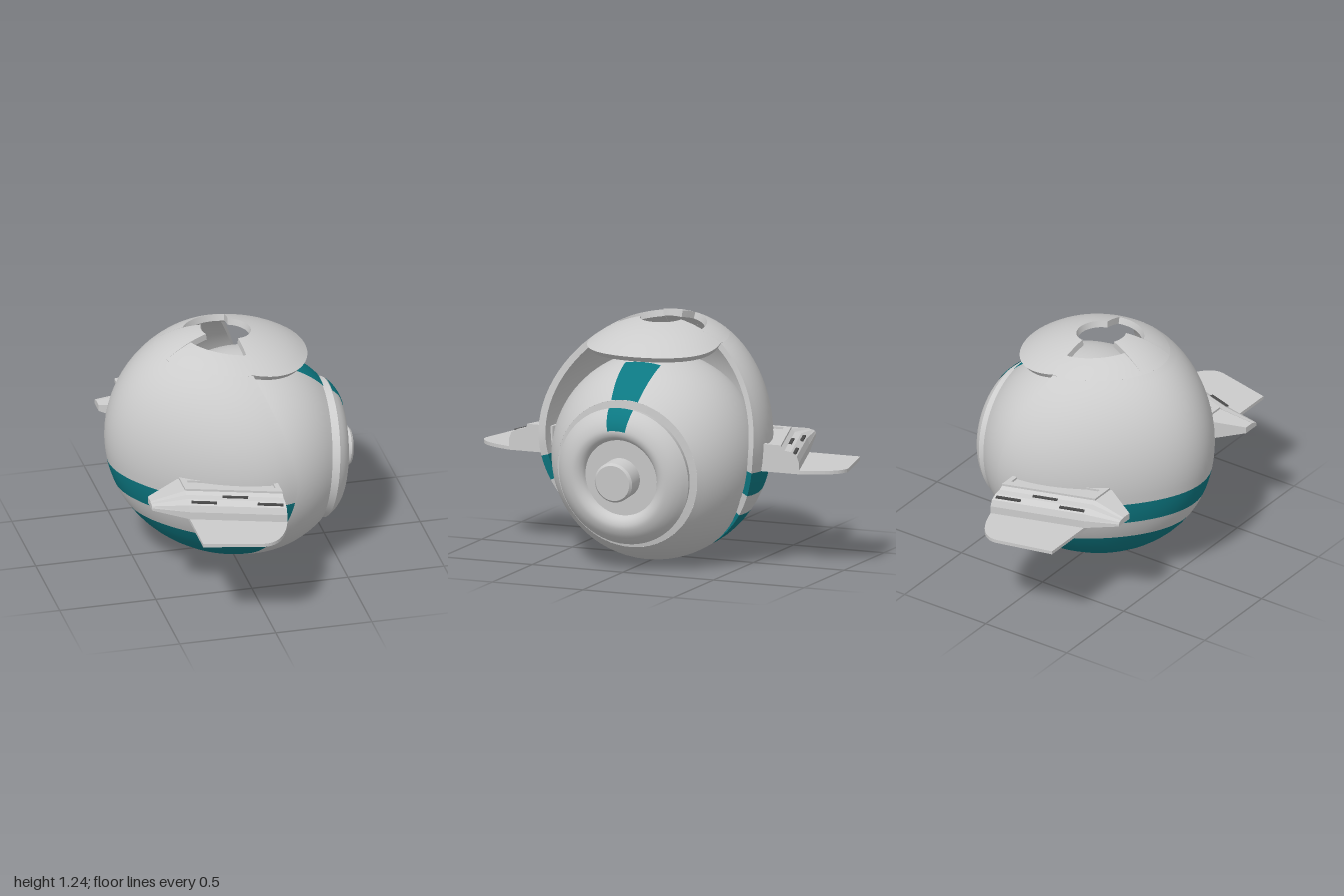
import * as THREE from 'three';

const GREY = 0xcccccc, TEAL = 0x0c7882, DARK = 0x4a4a4a;
const mat = (color = GREY) => new THREE.MeshStandardMaterial({ color, side: THREE.DoubleSide });

function add(parent, name, geo, color) {
  const mesh = new THREE.Mesh(geo, mat(color));
  mesh.name = name;
  parent.add(mesh);
  return mesh;
}

// Hood surface: a slightly sheared ellipsoid that widens towards its open front
const CX = -0.03, CY = 0.625, R = 0.605, RY = 0.615;
function hoodPoint(x, z, side) {
  const rho2 = ((x - CX) ** 2 + z * z) / (R * R);
  const y = CY + side * RY * Math.sqrt(Math.max(0, 1 - rho2)) - 0.07 * x + 0.375 * Math.max(0, x) ** 2;
  return new THREE.Vector3(x, y, z * (0.98 + 0.42 * x));
}

// Curved plate with an outer skin, inner skin and four edge walls
function plate(point, nu, nv) {
  const center = new THREE.Vector3(CX, CY, 0);
  const pos = [], idx = [];
  const outer = (i, j) => point(i / nu, j / nv);
  const inner = (i, j) => outer(i, j).sub(center).multiplyScalar(0.945).add(center);
  const sheet = (f, n, m, flip) => {
    const base = pos.length / 3;
    for (let j = 0; j <= m; j++) for (let i = 0; i <= n; i++) pos.push(...f(i, j).toArray());
    for (let j = 0; j < m; j++) for (let i = 0; i < n; i++) {
      const a = base + j * (n + 1) + i, b = a + n + 1;
      if (flip) idx.push(a, b, a + 1, a + 1, b, b + 1);
      else idx.push(a, a + 1, b, a + 1, b + 1, b);
    }
  };
  sheet(outer, nu, nv, false);
  sheet(inner, nu, nv, true);
  for (const j of [0, nv]) sheet((i, k) => (k ? inner(i, j) : outer(i, j)), nu, 1, j === 0);
  for (const i of [0, nu]) sheet((j, k) => (k ? inner(i, j) : outer(i, j)), nv, 1, i !== 0);
  const geo = new THREE.BufferGeometry();
  geo.setAttribute('position', new THREE.Float32BufferAttribute(pos, 3));
  geo.setIndex(idx);
  geo.computeVertexNormals();
  return geo;
}

function buildHood() {
  const hood = new THREE.Group();
  hood.name = 'hood';
  // Side walls in latitude bands, two of them coloured; the front edge bows forward
  const frontEdge = (y) => 0.215 - (y > 0.59
    ? 0.165 * ((y - 0.59) / 0.53) ** 1.6
    : 0.185 * ((0.59 - y) / 0.55) ** 1.6);
  const lat = (y) => Math.acos((y - CY) / RY);
  const levels = [Math.asin(0.35 / R), lat(0.5), lat(0.376), lat(0.268), lat(0.045)];
  const names = ['hoodWall', 'upperStripe', 'hoodBand', 'lowerStripe'];
  names.forEach((name, k) => {
    const t0 = levels[k], t1 = levels[k + 1];
    const geo = plate((u, v) => {
      const t = t0 + (t1 - t0) * v, rho = R * Math.sin(t), y = CY + RY * Math.cos(t);
      const open = Math.acos(THREE.MathUtils.clamp((frontEdge(y) - CX) / rho, -1, 1));
      const phi = open + (2 * Math.PI - 2 * open) * u;
      return hoodPoint(CX + rho * Math.cos(phi), rho * Math.sin(phi), t < Math.PI / 2 ? 1 : -1);
    }, 48, k === 0 ? 16 : 6);
    add(hood, name, geo, k % 2 ? TEAL : GREY);
  });
  // Crown with a keyed opening; its front part runs out into a visor
  const deg = Math.PI / 180;
  const sections = [
    ['visor', -77, 77, 0.115], ['crownLeft', 77, 156, 0.235],
    ['rearTab', 156, 204, 0.14], ['crownRight', 204, 283, 0.235],
  ];
  for (const [name, a0, a1, hole] of sections) {
    add(hood, name, plate((u, v) => {
      const a = (a0 + (a1 - a0) * u) * deg, c = Math.cos(a), s = Math.sin(a);
      const rim = c > 0.2 ? 0.09 * c + Math.sqrt(0.1156 - 0.0081 * s * s) : 0.35;
      const x = THREE.MathUtils.lerp(hole * c, CX + rim * c, v);
      const z = THREE.MathUtils.lerp(hole * s, rim * s, v);
      return hoodPoint(x, z, 1);
    }, name === 'visor' ? 32 : 14, 8));
  }
  return hood;
}

function buildBall() {
  const ball = new THREE.Group();
  ball.name = 'ball';
  ball.position.set(0.08, 0.53, 0);
  ball.rotation.z = -(Math.PI / 2 + 0.09);
  const v2 = (p) => p.map(([r, h]) => new THREE.Vector2(r, h));
  const turn = (name, pts, color, start = 0, len = 2 * Math.PI, seg = 64) =>
    add(ball, name, new THREE.LatheGeometry(pts, seg, start, len), color);
  const arc = (h0, h1, r, n) => Array.from({ length: n + 1 }, (_, i) => {
    const a = THREE.MathUtils.lerp(Math.asin(h0 / 0.53), Math.asin(h1 / 0.53), i / n);
    return new THREE.Vector2(r * Math.cos(a), r * Math.sin(a));
  });
  turn('sphereBody', arc(-0.53, 0.364, 0.53, 32));
  turn('faceSeat', v2([[0.385, 0.364], [0.345, 0.37]]));
  turn('faceRim', v2([[0.345, 0.365], [0.357, 0.412]]));
  // Rounded eye ring
  const ring = new THREE.SplineCurve(v2([
    [0.357, 0.412], [0.33, 0.443], [0.295, 0.469], [0.255, 0.483], [0.225, 0.477], [0.205, 0.46], [0.197, 0.442],
  ])).getPoints(20);
  turn('eyeRing', ring);
  turn('eyePlate', v2([[0.197, 0.442], [0, 0.442]]));
  // Pupil with a small edge bevel
  turn('pupilSide', v2([[0.103, 0.44], [0.103, 0.54]]));
  turn('pupilBevel', v2([[0.103, 0.54], [0.092, 0.552]]));
  turn('pupilFront', v2([[0.092, 0.552], [0, 0.552]]));
  // Brow stripe over the ball and the upper half of the ring
  const start = 1.5 * Math.PI - 0.19;
  turn('browStripe', arc(0.12, 0.364, 0.533, 12), TEAL, start, 0.38, 8);
  const lifted = ring.filter((p) => p.x > 0.25).map((p) => new THREE.Vector2(p.x + 0.001, p.y + 0.003));
  turn('ringStripe', lifted, TEAL, start, 0.38, 8);
  return ball;
}

// Loft of flat-shaded cross-sections with closed ends
function loft(sections) {
  const pos = [], n = sections[0].length;
  const tri = (...p) => p.forEach((q) => pos.push(...q));
  for (let k = 0; k + 1 < sections.length; k++) for (let i = 0; i < n; i++) {
    const A = sections[k], B = sections[k + 1], j = (i + 1) % n;
    tri(A[i], A[j], B[i]);
    tri(A[j], B[j], B[i]);
  }
  const first = sections[0], last = sections[sections.length - 1];
  for (let i = 1; i + 1 < n; i++) {
    tri(first[0], first[i + 1], first[i]);
    tri(last[0], last[i], last[i + 1]);
  }
  const geo = new THREE.BufferGeometry();
  geo.setAttribute('position', new THREE.Float32BufferAttribute(pos, 3));
  geo.computeVertexNormals();
  return geo;
}

function flatPlate(shape, depth) {
  return new THREE.ExtrudeGeometry(shape, { depth, bevelEnabled: false, curveSegments: 12 }).rotateX(Math.PI / 2);
}

function buildFin(name, side) {
  const fin = new THREE.Group();
  fin.name = name;
  fin.scale.z = side;
  const zOut = (x) => 0.765 + 0.319 * x;
  // Tapered pod
  const profile = [[0, 0.515], [0, 0.555], [-0.012, 0.588], [-0.045, 0.608], [-0.08, 0.613],
    [-0.1, 0.627], [-0.24, 0.627], [-0.24, 0.515]];
  const full = (x) => profile.map(([o, y]) => [x, y, zOut(x) + o]);
  const tail = profile.map(([o, y]) => [-0.545, 0.565 + (y - 0.515) * 0.3, 0.605 + o * 0.38]);
  add(fin, 'finPod', loft([tail, full(-0.36), full(0.11)]));
  // Top cover with a long recess
  const quad = (x0, x1, o0, o1) => [[x0, o0], [x1, o0], [x1, o1], [x0, o1]]
    .map(([x, o]) => new THREE.Vector2(x, zOut(x) + o));
  const cover = new THREE.Shape(quad(-0.36, 0.11, -0.1, -0.24));
  cover.holes.push(new THREE.Path(quad(-0.33, 0.085, -0.138, -0.195)));
  add(fin, 'podCover', flatPlate(cover, 0.012)).position.y = 0.638;
  // Vent slots
  for (const [x, y, o] of [[-0.285, 0.6, -0.026], [-0.125, 0.613, -0.07], [0.035, 0.6, -0.026]]) {
    const slot = add(fin, 'ventSlot', new THREE.BoxGeometry(0.13, 0.008, 0.016), DARK);
    slot.position.set(x, y, zOut(x) + o);
    slot.rotation.y = -Math.atan(0.319);
  }
  // Thin wing below the pod
  const wing = new THREE.Shape();
  wing.moveTo(-0.36, 0.41);
  wing.lineTo(0.11, 0.56);
  wing.lineTo(0.11, 0.8);
  wing.bezierCurveTo(0.08, 0.9, 0.03, 1.01, -0.06, 1.0);
  wing.lineTo(-0.36, 0.93);
  add(fin, 'wing', flatPlate(wing, 0.018)).position.y = 0.515;
  return fin;
}

export function createModel() {
  const model = new THREE.Group();
  model.name = 'sphericalDrone';
  model.add(buildBall(), buildHood(), buildFin('finFront', 1), buildFin('finBack', -1));
  return model;
}
